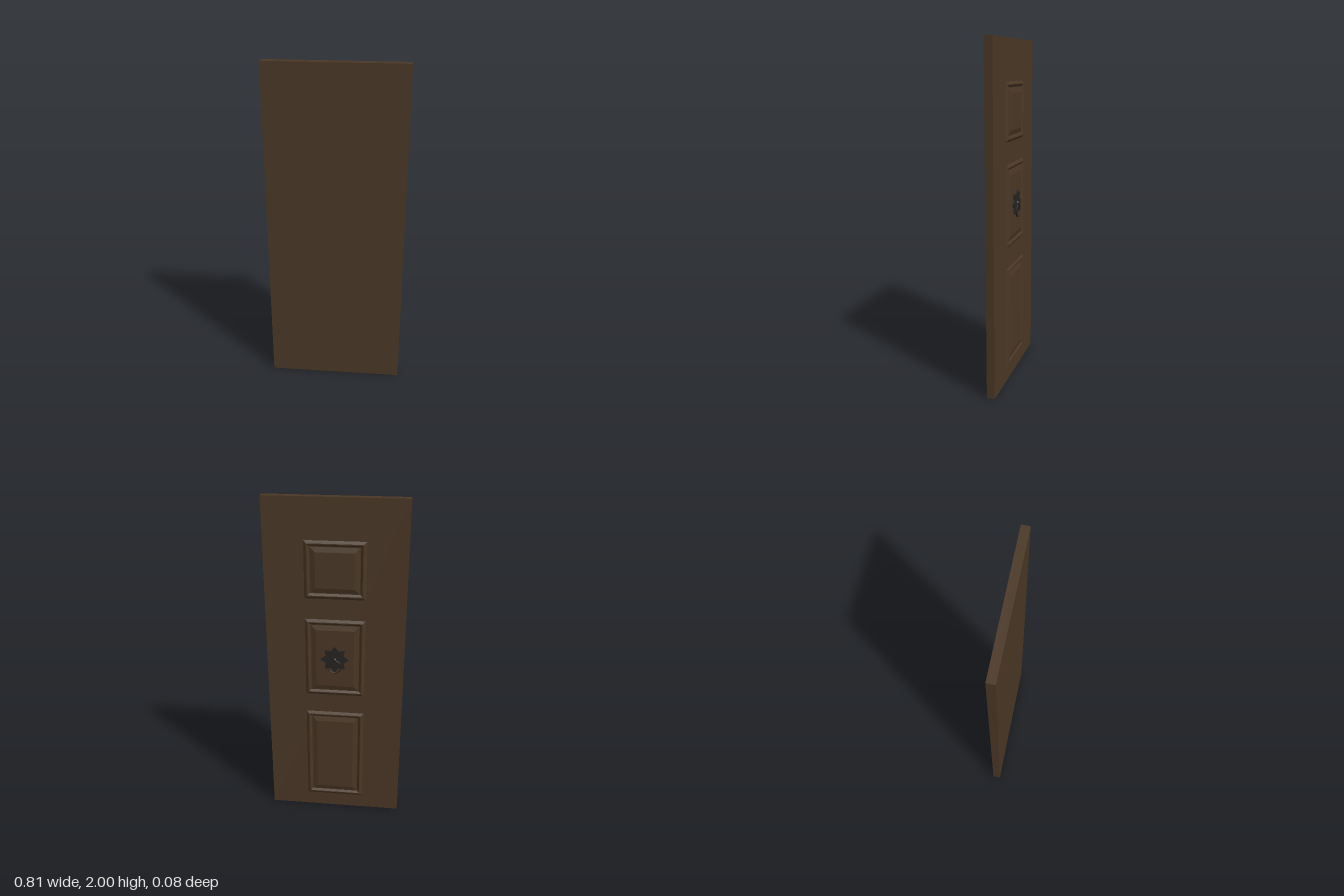
import * as THREE from 'three';

const wood = new THREE.MeshStandardMaterial({ color: 0x4a3725, flatShading: true });
const iron = new THREE.MeshStandardMaterial({ color: 0x262422 });

const BACK = -0.01; // carved face of the slab

function add(parent, name, geometry, material, x = 0, y = 0, z = 0) {
  const mesh = new THREE.Mesh(geometry, material);
  mesh.name = name;
  mesh.position.set(x, y, z);
  parent.add(mesh);
  return mesh;
}

// Moulded panel facing -z: nested rectangles given as [inset, height]
function panelGeometry(width, height) {
  const profile = [[0, 0], [0.015, 0.01], [0.02, 0.01], [0.032, 0.001], [0.036, 0.001], [0.064, 0.01]];
  const rings = profile.map(([inset, rise]) => {
    const w = width / 2 - inset, h = height / 2 - inset;
    return [[-w, -h, -rise], [w, -h, -rise], [w, h, -rise], [-w, h, -rise]];
  });
  const points = [];
  const quad = (a, b, c, d) => points.push(...a, ...d, ...c, ...a, ...c, ...b);
  for (let k = 0; k < rings.length - 1; k++) {
    for (let i = 0; i < 4; i++) {
      const j = (i + 1) % 4;
      quad(rings[k][i], rings[k][j], rings[k + 1][j], rings[k + 1][i]);
    }
  }
  quad(...rings[rings.length - 1]);
  const geometry = new THREE.BufferGeometry();
  geometry.setAttribute('position', new THREE.Float32BufferAttribute(points, 3));
  geometry.computeVertexNormals();
  return geometry;
}

// Eight-pointed plate behind the knocker
function starGeometry(outer, inner, depth) {
  const shape = new THREE.Shape();
  for (let i = 0; i < 16; i++) {
    const r = i % 2 ? inner : outer;
    const a = (i * Math.PI) / 8;
    shape[i ? 'lineTo' : 'moveTo'](r * Math.cos(a), r * Math.sin(a));
  }
  shape.closePath();
  return new THREE.ExtrudeGeometry(shape, { depth, bevelEnabled: false });
}

export function createModel() {
  const door = new THREE.Group();
  door.name = 'door';

  // Plain slab
  add(door, 'slab', new THREE.BoxGeometry(0.808, 2, 0.047), wood, 0, 1, BACK + 0.0235);

  // Three raised panels, bottom to top
  const panels = [['lowerPanel', 0.09, 0.7], ['middlePanel', 0.82, 1.305], ['upperPanel', 1.43, 1.765]];
  for (const [name, bottom, top] of panels) {
    add(door, name, panelGeometry(0.35, top - bottom), wood, 0, (bottom + top) / 2, BACK);
  }

  // Knocker: star plate, boss and hanging ring
  const knocker = new THREE.Group();
  knocker.name = 'knocker';
  knocker.position.set(0, 1.06, 0);
  add(knocker, 'starPlate', starGeometry(0.083, 0.058, 0.007), iron, 0, 0, -0.027);
  add(knocker, 'boss', new THREE.SphereGeometry(0.013, 20, 14), iron, 0, 0, -0.027);
  add(knocker, 'ring', new THREE.TorusGeometry(0.039, 0.003, 8, 40), iron, 0, -0.042, -0.034);
  door.add(knocker);

  return door;
}
